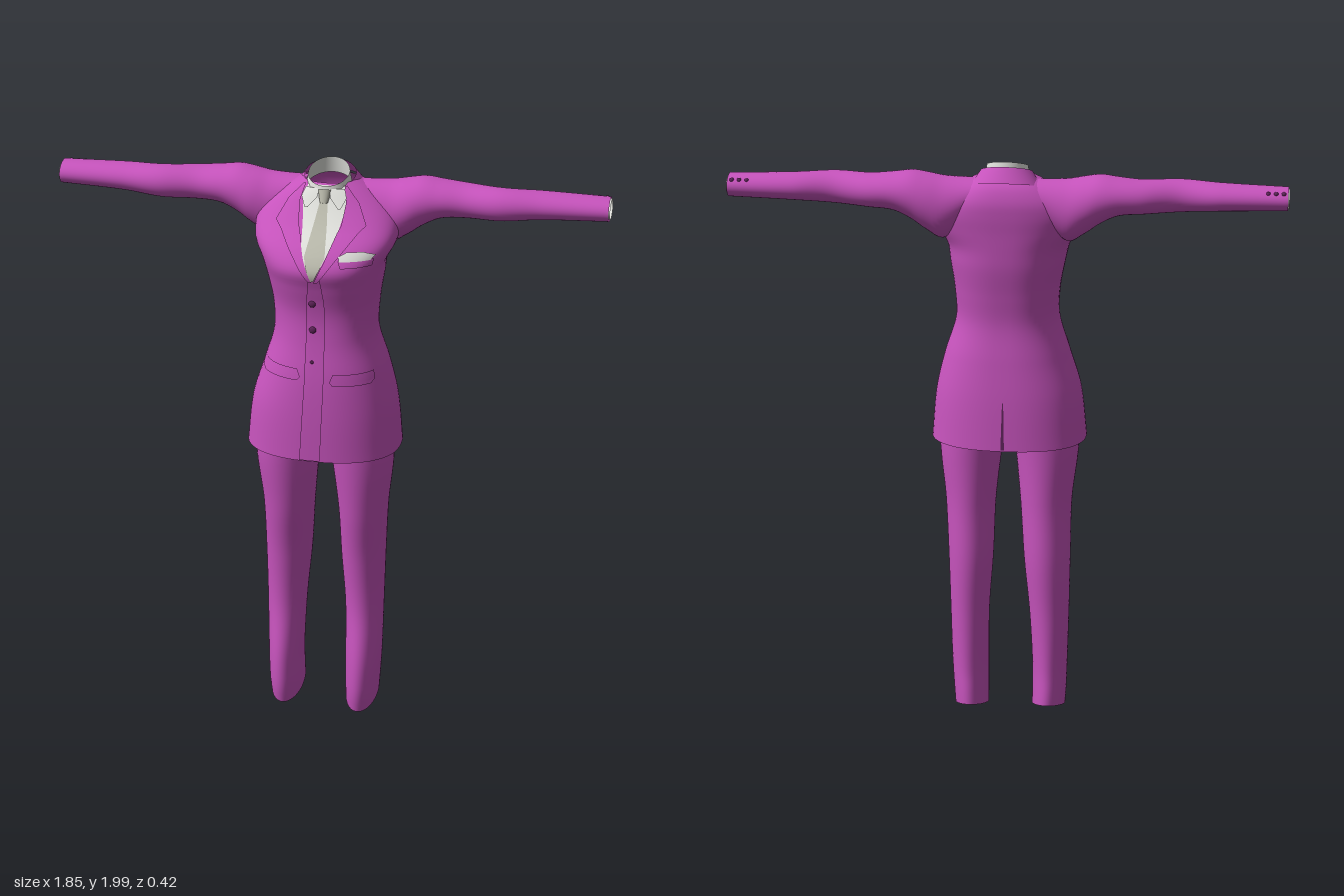
import * as THREE from 'three';

const mat = (name, color) => {
  const m = new THREE.MeshStandardMaterial({ color, side: THREE.DoubleSide });
  m.name = name;
  return m;
};

// Smoothly interpolate a table of cross-sections whose first column is the key.
function sample(table, k) {
  let i = 0;
  while (i < table.length - 2 && k > table[i + 1][0]) i++;
  const a = table[i], b = table[i + 1];
  const p = table[Math.max(i - 1, 0)], q = table[Math.min(i + 2, table.length - 1)];
  const h = b[0] - a[0], t = (k - a[0]) / h;
  return a.map((v, c) => {
    if (c === 0) return k;
    const m0 = (b[c] - p[c]) / (b[0] - p[0]) * h, m1 = (q[c] - a[c]) / (q[0] - a[0]) * h;
    const t2 = t * t, t3 = t2 * t;
    return (2 * t3 - 3 * t2 + 1) * v + (t3 - 2 * t2 + t) * m0 + (3 * t2 - 2 * t3) * b[c] + (t3 - t2) * m1;
  });
}

function surface(points, rows, cols, closed) {
  const index = [], w = closed ? cols : cols + 1;
  for (let r = 0; r < rows; r++) for (let c = 0; c < cols; c++) {
    const a = r * w + c, b = r * w + (c + 1) % w;
    index.push(a, a + w, b, b, a + w, b + w);
  }
  const g = new THREE.BufferGeometry();
  g.setAttribute('position', new THREE.Float32BufferAttribute(points, 3));
  g.setIndex(index);
  g.computeVertexNormals();
  return g;
}

// Open tube through rows of [key, aMin, aMax, bMin, bMax, tilt]; place() maps (key, a, b, tilt, bMid) to a point.
function loft(table, place, n = 2, rows = 44, cols = 48) {
  const pts = [], k0 = table[0][0], k1 = table[table.length - 1][0];
  const pow = v => Math.sign(v) * Math.abs(v) ** (2 / n);
  for (let r = 0; r <= rows; r++) {
    const [k, a0, a1, b0, b1, tilt = 0] = sample(table, k0 + (k1 - k0) * r / rows);
    for (let c = 0; c < cols; c++) {
      const t = c / cols * Math.PI * 2, mid = (b0 + b1) / 2;
      const a = (a0 + a1) / 2 + (a1 - a0) / 2 * pow(Math.cos(t));
      const b = mid + (b1 - b0) / 2 * pow(Math.sin(t));
      pts.push(...place(k, a, b, tilt, mid));
    }
  }
  return surface(pts, rows, cols, true);
}
const upright = (y, x, z, tilt, mid) => [x, y + tilt * (z - mid), z];

// Jacket body: y, x range, z range
const BODY_N = 2.4;
const BODY = [
  [1.035, -.265, .26, -.205, .205], [1.2, -.245, .245, -.19, .2],
  [1.33, -.205, .215, -.172, .19], [1.45, -.17, .178, -.155, .172],
  [1.55, -.172, .18, -.162, .168], [1.65, -.19, .195, -.175, .19],
  [1.71, -.205, .205, -.178, .203], [1.77, -.235, .235, -.18, .165],
  [1.83, -.235, .235, -.183, .095], [1.88, -.2, .2, -.18, .05],
  [1.93, -.13, .13, -.158, .015], [1.95, -.085, .085, -.13, 0],
];
// Sleeve: x, z range, y range
const SLEEVE = [
  [.08, -.15, -.02, 1.86, 1.94], [.2, -.178, 0, 1.74, 1.945],
  [.26, -.183, .005, 1.765, 1.955], [.31, -.18, -.002, 1.8, 1.962],
  [.37, -.172, -.012, 1.828, 1.955], [.45, -.16, -.02, 1.835, 1.948],
  [.57, -.127, -.006, 1.84, 1.948], [.7, -.143, -.02, 1.85, 1.942],
  [.92, -.143, -.032, 1.858, 1.935],
];
// Trouser legs: y, x range, z range, tilt of the hem
const RIGHT_LEG = [
  [.05, -.2, -.085, -.138, .087, -.3], [.1, -.203, -.085, -.135, .102, -.18],
  [.2, -.206, -.085, -.127, .1, 0], [.4, -.212, -.075, -.125, .072, 0],
  [.6, -.215, -.055, -.13, .085, 0], [.8, -.217, -.04, -.12, .12, 0],
  [1.04, -.238, -.018, -.122, .145, 0], [1.25, -.19, 0, -.13, .14, 0],
];
const LEFT_LEG = [
  [.042, .07, .185, -.138, .087, -.3], [.1, .07, .19, -.135, .102, -.18],
  [.2, .07, .196, -.127, .1, 0], [.4, .066, .2, -.125, .072, 0],
  [.6, .052, .206, -.13, .085, 0], [.8, .045, .217, -.12, .12, 0],
  [1.04, .018, .236, -.122, .145, 0], [1.25, 0, .19, -.13, .14, 0],
];

// Depth of the jacket surface at (x, y); side is 1 for front, -1 for back
function bodyZ(x, y, side) {
  const [, a0, a1, b0, b1] = sample(BODY, y);
  const u = Math.min(1, Math.abs((x - (a0 + a1) / 2) / ((a1 - a0) / 2)));
  return (b0 + b1) / 2 + side * (b1 - b0) / 2 * (1 - u ** BODY_N) ** (1 / BODY_N);
}

// Thin cloth piece lying on the jacket: rows of [y, xLeft, xRight]
function patch(rows, lift, side = 1) {
  const pts = [], steps = 6, cols = 10;
  let count = -1;
  for (let i = 0; i < rows.length - 1; i++) {
    for (let s = i ? 1 : 0; s <= steps; s++, count++) {
      const [y, l, r] = rows[i].map((v, c) => v + (rows[i + 1][c] - v) * s / steps);
      for (let c = 0; c <= cols; c++) {
        const x = l + (r - l) * c / cols;
        pts.push(x, y, bodyZ(x, y, side) + side * lift);
      }
    }
  }
  return surface(pts, count, cols, false);
}
const mirrored = rows => rows.map(([y, l, r]) => [y, -r, -l]);

export function createModel() {
  const model = new THREE.Group();
  const cloth = mat('pink cloth', 0xc653bc);
  const shirt = mat('white shirt', 0xe2e3de);
  const silk = mat('grey tie', 0xbcbcae);
  const dark = mat('dark plum', 0x5e2459);
  const add = (name, geometry, material) => {
    const m = new THREE.Mesh(geometry, material);
    m.name = name;
    model.add(m);
    return m;
  };

  add('jacketBody', loft(BODY, upright, BODY_N, 70, 64), cloth);
  add('rightTrouserLeg', loft(RIGHT_LEG, upright), cloth);
  add('leftTrouserLeg', loft(LEFT_LEG, upright), cloth);

  // Sleeves, shirt cuffs and cuff buttons
  for (const s of [1, -1]) {
    const side = s > 0 ? 'left' : 'right';
    const along = (x, z, y) => [s * x, y, z];
    add(side + 'Sleeve', loft(SLEEVE, along, 2, 60, 40), cloth);
    add(side + 'ShirtCuff', loft([[.82, -.135, -.038, 1.863, 1.93], [.924, -.135, -.04, 1.865, 1.928]], along, 2, 2), shirt);
    const lining = add(side + 'CuffLining', new THREE.CircleGeometry(.04, 32), shirt);
    lining.position.set(s * .84, 1.896, -.087);
    lining.rotation.y = s * Math.PI / 2;
    lining.scale.x = 1.25;
    for (const x of [.855, .88, .905]) {
      const b = add(side + 'CuffButton', new THREE.SphereGeometry(.008, 12, 8), dark);
      b.position.set(s * x, 1.92, -.128);
    }
  }

  // Collars
  add('jacketCollar', loft([[1.915, -.118, .118, -.172, 0, -.3], [1.962, -.085, .085, -.137, .005, -.38]], upright, 2, 6), cloth);
  add('shirtCollar', loft([[1.92, -.078, .078, -.125, .04, -.3], [1.975, -.068, .068, -.115, .03, -.36]], upright, 2, 6), shirt);

  // Shirt front and tie
  add('shirtFront', patch([[1.945, -.06, .06], [1.9, -.07, .078], [1.8, -.055, .055], [1.75, -.045, .03], [1.685, -.012, 0]], .005), shirt);
  add('tie', patch([[1.905, -.012, .012], [1.76, -.036, .032], [1.73, -.028, .02], [1.685, -.01, 0]], .01), silk);
  const knot = add('tieKnot', new THREE.CylinderGeometry(.022, .013, .045, 20), silk);
  knot.position.set(0, 1.915, .035);
  knot.rotation.x = -.4;
  knot.scale.z = .7;
  const wing = [[1.94, .016, .065], [1.915, .022, .075], [1.885, .05, .06]];
  add('leftCollarPoint', patch(wing, .02), shirt);
  add('rightCollarPoint', patch(mirrored(wing), .02), shirt);

  // Lapels and front closure
  const lapel = [[1.945, .062, .07], [1.9, .074, .115], [1.84, .068, .148], [1.82, .058, .125], [1.75, .032, .065], [1.68, 0, .012]];
  add('leftLapel', patch(lapel, .012), cloth);
  add('rightLapel', patch(mirrored(lapel).map(([y, l, r]) => [y, l - .006, r - .006]), .01), cloth);
  add('frontEdge', patch([[1.69, -.018, .02], [1.6, -.03, .03], [1.3, -.036, .03], [1.04, -.05, .02]], .005), cloth);
  for (const [y, r] of [[1.595, .012], [1.5, .012], [1.39, .006]]) {
    const b = add('frontButton', new THREE.SphereGeometry(r, 16, 10), dark);
    b.position.set(-.01, y, bodyZ(-.01, y, 1) + .006);
    b.scale.z = .5;
  }

  // Hip pocket flaps
  const flap = [[1.352, .06, .185], [1.325, .05, .19], [1.312, .06, .18]];
  add('leftPocketFlap', patch(flap, .008), cloth);
  add('rightPocketFlap', patch(mirrored(flap).map(([y, l, r]) => [y + .012, l - .005, r]), .008), cloth);

  // Breast pocket with folded square
  add('breastPocket', patch([[1.752, .075, .185], [1.73, .085, .18]], .01), cloth);
  add('pocketSquare', patch([[1.776, .1, .15], [1.764, .075, .19], [1.75, .08, .175]], .012), shirt);

  // Back vent
  add('backVent', patch([[1.2, -.002, .002], [1.04, -.006, .006]], .003, -1), dark);

  return model;
}
